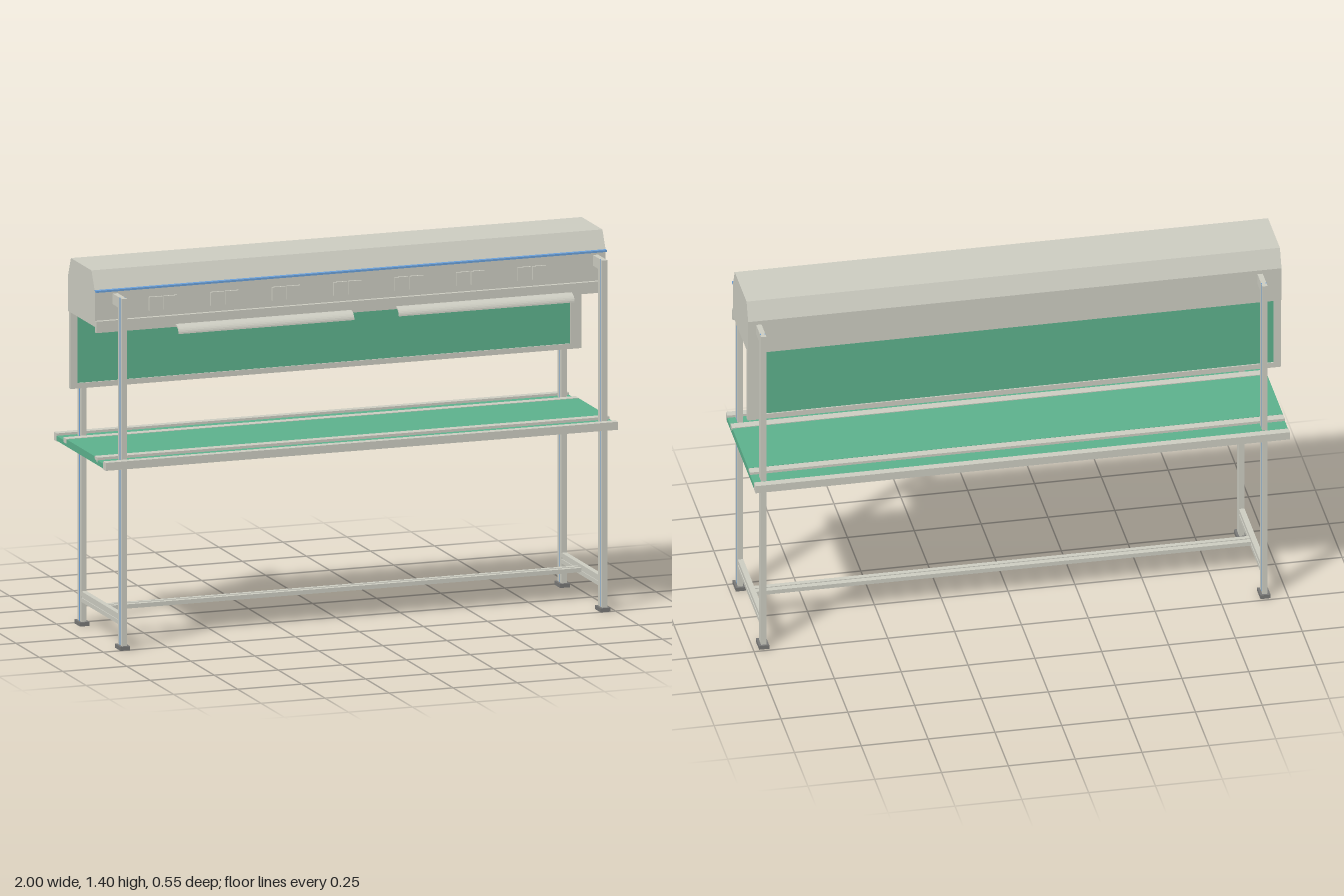
import * as THREE from 'three';

const mat = (color) => new THREE.MeshStandardMaterial({ color, flatShading: true });

export function createModel() {
  const group = new THREE.Group();
  const grey = mat(0xcbcbc0), green = mat(0x5cb08c), blue = mat(0x6a9fd8), dark = mat(0x777775);

  const add = (name, geometry, material) => {
    const mesh = new THREE.Mesh(geometry, material);
    mesh.name = name;
    group.add(mesh);
    return mesh;
  };
  // box given by its limits on each axis
  const box = (name, material, x0, x1, y0, y1, z0, z1) => {
    const g = new THREE.BoxGeometry(x1 - x0, y1 - y0, z1 - z0);
    g.translate((x0 + x1) / 2, (y0 + y1) / 2, (z0 + z1) / 2);
    return add(name, g, material);
  };
  // (z, y) outline extruded along x
  const extrudeX = (name, material, points, x0, x1) => {
    const shape = new THREE.Shape(points.map(([z, y]) => new THREE.Vector2(z, y)));
    const g = new THREE.ExtrudeGeometry(shape, { depth: x1 - x0, bevelEnabled: false });
    g.rotateY(-Math.PI / 2).translate(x1, 0, 0);
    return add(name, g, material);
  };
  // aluminium bar with a slot in both wide faces; a, b, c are the wide, narrow and long directions
  const slottedBar = (name, wide, narrow, length, a, b, c, centre) => {
    const w = wide / 2, n = narrow / 2, s = 0.004, d = n - 0.003;
    const shape = new THREE.Shape([
      [-w, -n], [-s, -n], [-s, -d], [s, -d], [s, -n], [w, -n],
      [w, n], [s, n], [s, d], [-s, d], [-s, n], [-w, n],
    ].map(([x, y]) => new THREE.Vector2(x, y)));
    const g = new THREE.ExtrudeGeometry(shape, { depth: length, bevelEnabled: false });
    g.translate(0, 0, -length / 2);
    g.applyMatrix4(new THREE.Matrix4().makeBasis(a, b, c));
    g.translate(...centre);
    return add(name, g, grey);
  };
  const X = new THREE.Vector3(1, 0, 0), Y = new THREE.Vector3(0, 1, 0), Z = new THREE.Vector3(0, 0, 1);

  // end frames: legs, slot inserts, feet, hood brackets and cross bars
  const legXs = [-0.915, 0.96];
  for (const x of legXs) {
    for (const z of [0.223, -0.21]) {
      slottedBar('leg', 0.043, 0.02, 1.305, Z, X, Y, [x, 0.6675, z]);
      for (const side of [-1, 1]) {
        const sx = x + side * 0.008;
        box('slotInsert', blue, sx - 0.0015, sx + 0.0015, 0.015, 1.32, z - 0.004, z + 0.004);
      }
      box('foot', dark, x - 0.019, x + 0.019, 0, 0.015, z - 0.03, z + 0.03);
    }
    box('frontBracket', grey, x - 0.01, x + 0.01, 1.28, 1.32, 0.145, 0.202);
    box('backBracket', grey, x - 0.01, x + 0.01, 1.28, 1.32, -0.189, -0.14);
    slottedBar('crossBar', 0.04, 0.02, 0.39, Y, X, Z.clone().negate(), [x, 0.11, 0.0065]);
  }
  slottedBar('stretcher', 0.045, 0.016, legXs[1] - legXs[0] - 0.02, Z, Y, X.clone().negate(), [0.0225, 0.11, 0]);

  // worktop: base board, raised centre, inner rails and edge rails
  box('worktopBoard', green, -1, 1, 0.69, 0.708, -0.25, 0.25);
  box('worktopCentre', green, -1, 1, 0.708, 0.717, -0.142, 0.152);
  box('frontInnerRail', grey, -1, 1, 0.7, 0.718, 0.155, 0.188);
  box('backInnerRail', grey, -1, 1, 0.7, 0.718, -0.177, -0.145);
  box('frontEdgeRail', grey, -1, 1, 0.687, 0.717, 0.248, 0.277);
  box('backEdgeRail', grey, -1, 1, 0.687, 0.717, -0.277, -0.248);

  // hood with its blue trim and lower front rail
  extrudeX('hood', grey, [
    [0.145, 1.2], [0.145, 1.335], [0.11, 1.405], [-0.11, 1.405], [-0.14, 1.335], [-0.14, 1.2],
  ].reverse(), -0.995, 1);
  box('hoodTrim', blue, -0.995, 1, 1.331, 1.338, 0.143, 0.161);
  box('lampRail', grey, -0.995, 1, 1.18, 1.223, 0.147, 0.162);

  // paired sockets along the hood front
  for (let i = 0; i < 7; i++) {
    const x = -0.73 + i * 0.24;
    for (const side of [-1, 1]) {
      const c = x + side * 0.029;
      box('socket', grey, c - 0.026, c + 0.026, 1.246, 1.297, 0.144, 0.154);
    }
  }

  // curved lamp shades
  const outer = [], inner = [];
  for (let i = 0; i <= 8; i++) {
    const t = (i / 8) * Math.PI / 2;
    outer.push([0.158 + 0.039 * Math.sin(t), 1.16 + 0.031 * Math.cos(t)]);
    inner.unshift([0.158 + 0.033 * Math.sin(t), 1.16 + 0.025 * Math.cos(t)]);
  }
  for (const [x0, x1] of [[-0.685, 0], [0.175, 0.86]]) {
    extrudeX('lampShade', grey, [...outer, ...inner], x0, x1);
  }

  // framed back panel
  box('backPanel', green, -0.97, 0.96, 0.93, 1.2, -0.125, -0.117);
  box('panelBottomRail', grey, -0.995, 1, 0.912, 0.932, -0.13, -0.112);
  box('panelRightPost', grey, -0.995, -0.968, 0.932, 1.2, -0.13, -0.112);
  box('panelLeftPost', grey, 0.957, 1, 0.932, 1.2, -0.13, -0.112);

  return group;
}
